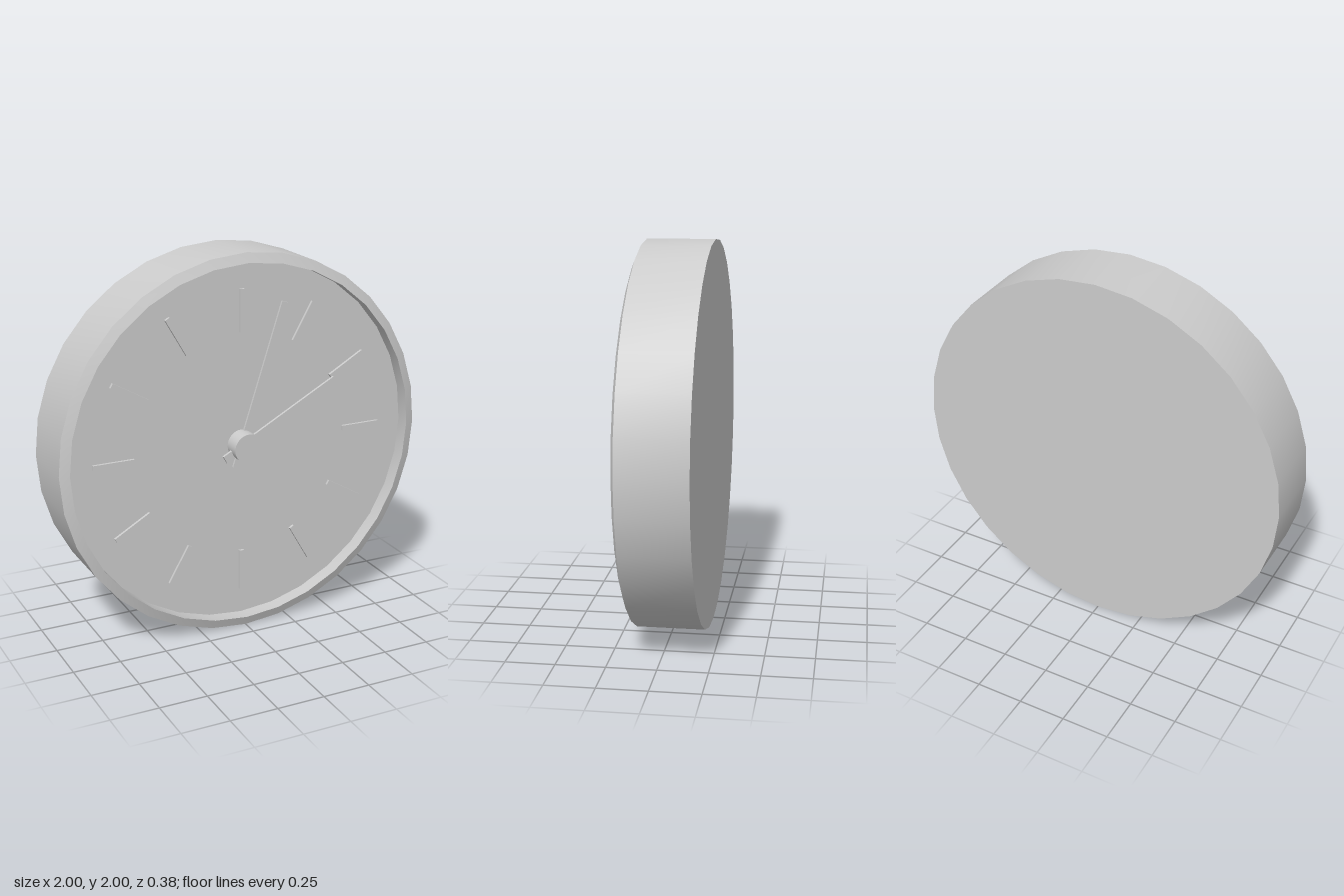
import * as THREE from 'three';
import { toCreasedNormals } from 'three/addons/utils/BufferGeometryUtils.js';

const FACE_Z = 0.1; // recessed dial surface

export function createModel() {
  const clock = new THREE.Group();
  clock.name = 'wallClock';
  const material = new THREE.MeshStandardMaterial({ color: 0xcccccc });

  function add(name, geometry) {
    const mesh = new THREE.Mesh(geometry, material);
    mesh.name = name;
    mesh.position.y = 1;
    clock.add(mesh);
    return mesh;
  }

  // Flat bar along a clock direction, from radius r0 to r1 and depth z0 to z1
  function radialBar(name, degrees, r0, r1, width, z0, z1) {
    const bar = new THREE.BoxGeometry(width, r1 - r0, z1 - z0);
    bar.translate(0, (r0 + r1) / 2, (z0 + z1) / 2);
    add(name, bar).rotation.z = -THREE.MathUtils.degToRad(degrees);
  }

  // Case: closed back, bevelled rim and sunken dial in one turned profile
  const profile = [
    [0, -0.19], [1, -0.19], [1, 0.158], [0.95, 0.177], [0.95, FACE_Z], [0, FACE_Z],
  ].map(([r, z]) => new THREE.Vector2(r, z));
  const body = new THREE.LatheGeometry(profile, 32).rotateX(Math.PI / 2);
  add('case', toCreasedNormals(body, 0.5));

  // Hour markers
  for (let i = 0; i < 12; i++) {
    radialBar('hourMarker' + (i + 1), (i + 1) * 30, 0.59, 0.81, 0.026, FACE_Z - 0.01, FACE_Z + 0.015);
  }

  // Hands, each with a short tail past the hub
  radialBar('minuteHand', 18, -0.125, 0.76, 0.036, 0.11, 0.122);
  radialBar('hourHand', 61.5, -0.125, 0.593, 0.046, 0.132, 0.146);

  // Centre hub
  const hub = new THREE.CylinderGeometry(0.077, 0.077, 0.1, 32).rotateX(Math.PI / 2);
  add('hub', hub).position.z = 0.14;

  return clock;
}
